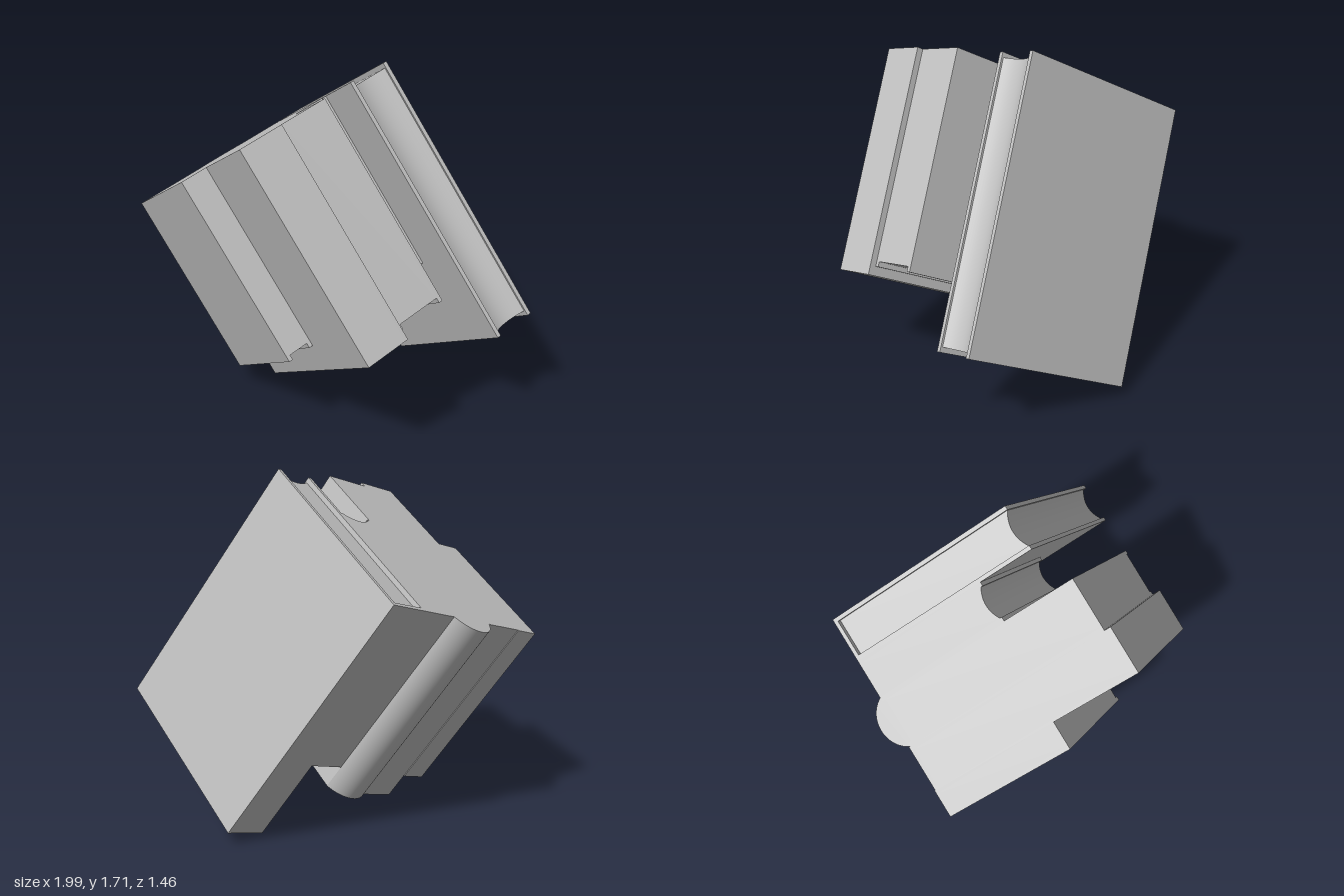
import * as THREE from 'three';
import { toCreasedNormals } from 'three/addons/utils/BufferGeometryUtils.js';

const BOARD = 0.02; // cover thickness

export function createModel() {
  const model = new THREE.Group();
  model.name = 'bookStack';
  const gray = new THREE.MeshStandardMaterial({ color: 0xc0c0c0 });
  gray.name = 'plainGray';

  // Row frame: x = depth (fore-edge to spine), y = book height, z = across the row
  const row = new THREE.Group();
  row.name = 'tiltedRow';
  model.add(row);

  function add(parent, name, geometry) {
    const mesh = new THREE.Mesh(geometry, gray);
    mesh.name = name;
    parent.add(mesh);
  }

  function box(parent, name, x0, x1, y0, y1, z0, z1) {
    const g = new THREE.BoxGeometry(x1 - x0, y1 - y0, z1 - z0);
    g.translate((x0 + x1) / 2, (y0 + y1) / 2, (z0 + z1) / 2);
    add(parent, name, g);
  }

  // Upright prism from an (x, -z) outline
  function prism(parent, name, shape, y0, y1) {
    const g = new THREE.ExtrudeGeometry(shape, { depth: y1 - y0, bevelEnabled: false, curveSegments: 16 });
    g.rotateX(-Math.PI / 2);
    g.translate(0, y0, 0);
    add(parent, name, toCreasedNormals(g, 0.6));
  }

  // Book with two boards, a spine and a page block set back from the ends
  function book({ name, front, back, z0, z1, height, foot = 0, head = 0.025, inset = 0, hollow = 0, round = 0 }) {
    const group = new THREE.Group();
    group.name = name;
    row.add(group);
    const a = z0 + BOARD, b = z1 - BOARD, inner = back - BOARD;

    box(group, 'backBoard', front, back, 0, height, z0, a);
    box(group, 'frontBoard', front, back, 0, height, b, z1);
    box(group, 'spine', inner, back, 0, height, a, b);

    // Page block, with a hollow fore-edge where wanted
    const pages = new THREE.Shape();
    const edge = front + inset;
    pages.moveTo(inner, -a);
    pages.lineTo(edge, -a);
    if (hollow) pages.quadraticCurveTo(edge + 2 * hollow, -(a + b) / 2, edge, -b);
    else pages.lineTo(edge, -b);
    pages.lineTo(inner, -b);
    pages.closePath();
    prism(group, 'pages', pages, foot, height - head);

    // Rounded spine
    if (round) {
      const half = (z1 - z0) / 2;
      const r = (half * half + round * round) / (2 * round);
      const t = Math.asin(half / r);
      const s = new THREE.Shape();
      s.absarc(back + round - r, -(z0 + z1) / 2, r, -t, t, false);
      s.closePath();
      prism(group, 'roundedSpine', s, 0, height);
    }
  }

  book({ name: 'tallBook', front: 0, back: 1.01, z0: 0, z1: 0.224, height: 1.402,
    foot: 0.025, inset: 0.01, hollow: 0.03 });
  book({ name: 'smallBook', front: 0.285, back: 1.01, z0: 0.224, z1: 0.427, height: 0.95,
    inset: 0.01, hollow: 0.025 });
  book({ name: 'roundSpineBook', front: -0.09, back: 1.01, z0: 0.427, z1: 0.693, height: 1.075, round: 0.085 });
  book({ name: 'wideBook', front: -0.122, back: 1.016, z0: 0.693, z1: 0.928, height: 1.12, head: 0 });
  book({ name: 'shortBook', front: 0.335, back: 1.02, z0: 0.928, z1: 1.07, height: 0.982 });

  // Tilt the whole row
  const up = new THREE.Vector3(0.564, -0.824, 0.0535).normalize();
  const deep = new THREE.Vector3(-0.662, -0.494, -0.563);
  deep.addScaledVector(up, -deep.dot(up)).normalize();
  const across = new THREE.Vector3().crossVectors(deep, up);
  const m = new THREE.Matrix4().makeBasis(deep, up, across);
  row.quaternion.setFromRotationMatrix(m);
  row.position.set(0.197, 1.726, -0.165);
  return model;
}
